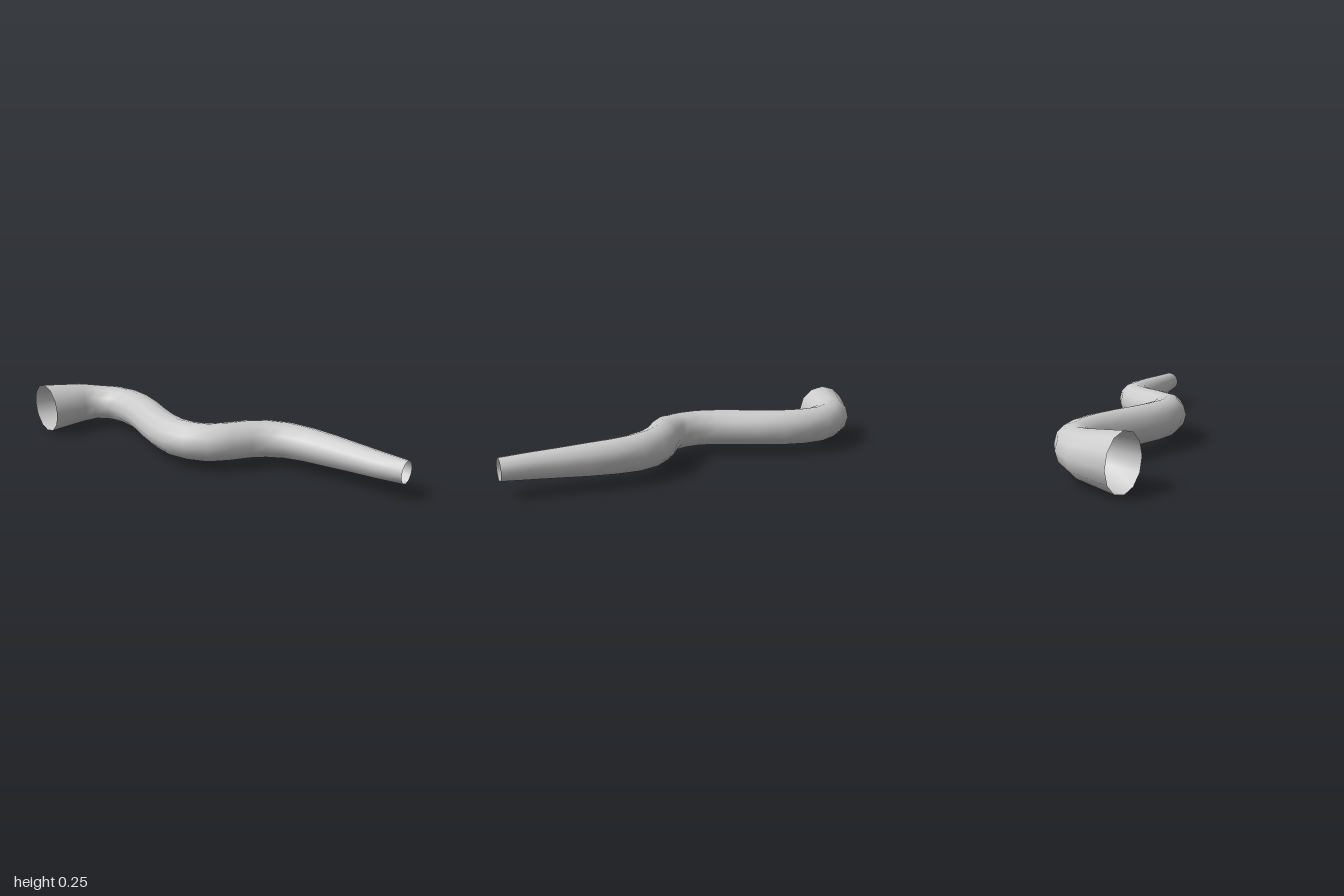
import * as THREE from 'three';

const SIDES = 12;
const AXIS_Y = 0.124;

// Centre line stations: x, z, radius
const STATIONS = [
  [-0.893, 0.073, 0.124], [-0.785, -0.088, 0.103], [-0.712, -0.14, 0.091],
  [-0.62, -0.165, 0.09], [-0.528, -0.15, 0.09], [-0.435, -0.107, 0.09],
  [-0.335, -0.036, 0.09], [-0.25, 0.035, 0.09], [-0.165, 0.098, 0.09],
  [-0.08, 0.143, 0.09], [0.008, 0.156, 0.09], [0.088, 0.143, 0.09],
  [0.163, 0.087, 0.09], [0.232, 0.018, 0.09], [0.31, -0.028, 0.089],
  [0.405, -0.048, 0.086], [0.51, -0.038, 0.081], [0.63, -0.01, 0.075],
  [0.75, 0.022, 0.067], [0.87, 0.055, 0.06], [0.989, 0.083, 0.052],
];

// Open pipe swept through the stations, each ring square to the path
function pipeGeometry(stations, sides) {
  const positions = [];
  const indices = [];
  const last = stations.length - 1;
  stations.forEach(([x, z, r], i) => {
    const a = stations[Math.max(i - 1, 0)];
    const b = stations[Math.min(i + 1, last)];
    const dir = new THREE.Vector2(b[0] - a[0], b[1] - a[1]).normalize();
    if (i === 0) dir.set(0.44, -0.9).normalize();
    if (i === last) dir.set(0.98, 0.2).normalize();
    for (let s = 0; s < sides; s++) {
      const t = (s / sides) * Math.PI * 2;
      const side = Math.sin(t) * r;
      positions.push(x - dir.y * side, AXIS_Y + Math.cos(t) * r, z + dir.x * side);
    }
  });
  for (let i = 0; i < last; i++) {
    for (let s = 0; s < sides; s++) {
      const n = (s + 1) % sides;
      const p = i * sides + s, q = i * sides + n;
      indices.push(p, q, p + sides, q, q + sides, p + sides);
    }
  }
  const geometry = new THREE.BufferGeometry();
  geometry.setAttribute('position', new THREE.Float32BufferAttribute(positions, 3));
  geometry.setIndex(indices);
  geometry.computeVertexNormals();
  return geometry;
}

export function createModel() {
  const group = new THREE.Group();
  group.name = 'windingPipe';
  const material = new THREE.MeshStandardMaterial({ color: 0xcccccc, side: THREE.DoubleSide });
  const pipe = new THREE.Mesh(pipeGeometry(STATIONS, SIDES), material);
  pipe.name = 'pipe';
  group.add(pipe);
  return group;
}
